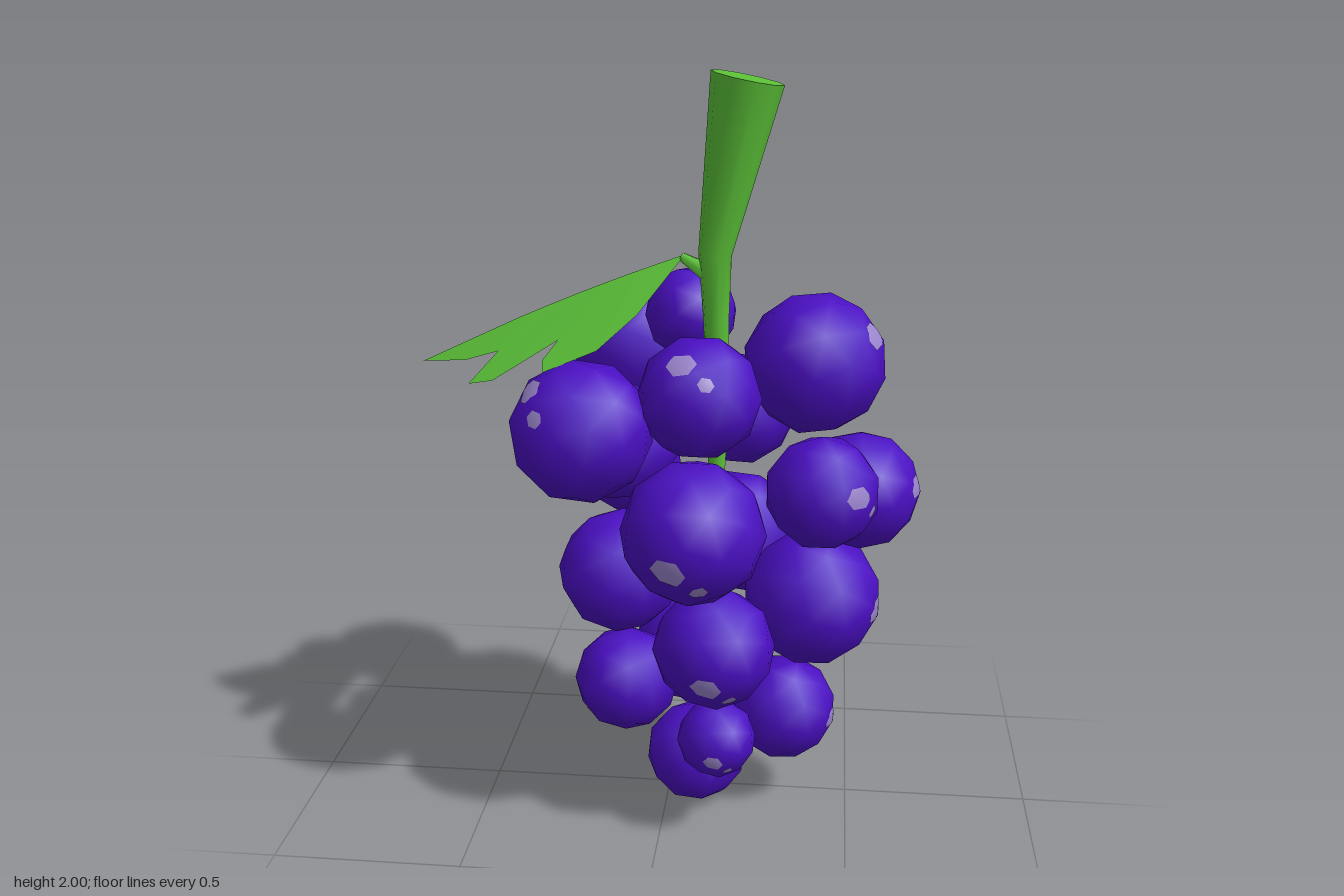
import * as THREE from 'three';

const mat = (name, color, side = THREE.FrontSide) => {
  const m = new THREE.MeshStandardMaterial({ color, side });
  m.name = name;
  return m;
};

// x, y, z, radius, pitch of the bloom spots in degrees
const GRAPES = [
  [0.10, 1.225, 0.27, 0.155, 38], [-0.19, 1.14, 0.305, 0.18, 33], [0.38, 1.26, 0.03, 0.185, 20],
  [-0.14, 1.21, -0.33, 0.178, -10], [0.17, 1.06, -0.22, 0.158, -38], [0.04, 1.345, -0.15, 0.125, -30],
  [0.51, 0.915, 0.025, 0.157, 0], [0.41, 0.98, 0.245, 0.145, 0], [0.09, 0.885, 0.315, 0.185, -25],
  [-0.15, 0.88, -0.28, 0.152, -38], [-0.13, 1.03, 0.03, 0.155, -20],
  [-0.135, 0.66, 0.03, 0.168, -30], [0.14, 0.54, 0.245, 0.16, -30], [0.39, 0.605, 0.03, 0.185, -15],
  [0.17, 0.70, -0.20, 0.173, -45],
  [-0.115, 0.35, 0.06, 0.142, -30], [0.32, 0.27, 0.03, 0.143, -15], [0.15, 0.28, 0.25, 0.104, -25],
  [0.05, 0.37, -0.145, 0.168, -35], [0.08, 0.137, 0.06, 0.138, -80],
];

const berryGeo = new THREE.IcosahedronGeometry(1, 1);

// Distance from the centre of the faceted unit berry to its surface along a direction
const facets = [];
{
  const p = berryGeo.attributes.position;
  for (let i = 0; i < p.count; i += 3) {
    const [a, b, c] = [0, 1, 2].map(k => new THREE.Vector3().fromBufferAttribute(p, i + k));
    const n = b.clone().sub(a).cross(c.clone().sub(a)).normalize();
    facets.push([n, n.dot(a)]);
  }
}
const reach = d => facets.reduce((t, [n, h]) => {
  const k = n.dot(d);
  return k > 0.3 ? Math.min(t, h / k) : t;
}, 2);

// Spot that hugs the facets, centred at (u, v) on the +z side
function spotGeometry(u, v, rx, ry) {
  const pos = [], nor = [], idx = [], n = 12;
  const add = (x, y) => {
    const d = new THREE.Vector3(x, y, Math.sqrt(1 - x * x - y * y));
    nor.push(...d.toArray());
    pos.push(...d.multiplyScalar(reach(d) + 0.012).toArray());
  };
  add(u, v);
  for (let ring = 1; ring <= 3; ring++) {
    for (let i = 0; i < n; i++) {
      const a = i / n * Math.PI * 2, s = ring / 3 * (i % 2 ? 0.92 : 1.06);
      add(u + Math.cos(a) * rx * s, v + Math.sin(a) * ry * s);
    }
  }
  for (let i = 0; i < n; i++) {
    const j = (i + 1) % n;
    idx.push(0, 1 + i, 1 + j);
    for (let r = 0; r < 2; r++) {
      const a = 1 + r * n + i, b = 1 + r * n + j;
      idx.push(a, a + n, b + n, a, b + n, b);
    }
  }
  const g = new THREE.BufferGeometry();
  g.setAttribute('position', new THREE.Float32BufferAttribute(pos, 3));
  g.setAttribute('normal', new THREE.Float32BufferAttribute(nor, 3));
  g.setIndex(idx);
  return g;
}

// Round stalk through [x, y, z, radius, tilt] rings from top to bottom, capped above
function stalkGeometry(rings, sides = 10) {
  const pos = [], idx = [];
  for (const [x, y, z, r, tilt] of rings) {
    for (let i = 0; i < sides; i++) {
      const a = i / sides * Math.PI * 2, c = Math.cos(a) * r;
      pos.push(x + c, y - c * tilt, z + Math.sin(a) * r);
    }
  }
  for (let k = 0; k < rings.length - 1; k++) {
    for (let i = 0; i < sides; i++) {
      const a = k * sides + i, b = k * sides + (i + 1) % sides;
      idx.push(a, b, b + sides, a, b + sides, a + sides);
    }
  }
  // cap with its own vertices for a sharp rim
  const base = pos.length / 3;
  pos.push(...pos.slice(0, sides * 3));
  for (let i = 1; i < sides - 1; i++) idx.push(base, base + i + 1, base + i);
  const g = new THREE.BufferGeometry();
  g.setAttribute('position', new THREE.Float32BufferAttribute(pos, 3));
  g.setIndex(idx);
  g.computeVertexNormals();
  return g;
}

// Half a leaf: a strip from the midrib to [edge x, edge z, rib x], drooping sideways
function leafHalf(edge, side) {
  const pos = [], idx = [];
  const ribY = x => 1.535 + 0.36 * (x - 0.04) - 0.105 * (x - 0.04) ** 2;
  const ribZ = x => 0.02 + (x - 0.04) * 0.042;
  for (const [x, z, rx] of [[0.04, 0.02, 0.04], ...edge]) {
    pos.push(rx, ribY(rx), ribZ(rx), x, ribY(x) - 0.4 * Math.abs(z - ribZ(x)), z);
  }
  for (let i = 0; i < edge.length; i++) {
    const a = 2 * i;
    if (side > 0) idx.push(a, a + 2, a + 1, a + 1, a + 2, a + 3);
    else idx.push(a, a + 1, a + 2, a + 1, a + 3, a + 2);
  }
  const g = new THREE.BufferGeometry();
  g.setAttribute('position', new THREE.Float32BufferAttribute(pos, 3));
  g.setIndex(idx);
  g.computeVertexNormals();
  return g;
}

function twig(from, to, r1, r2, material, name) {
  const a = new THREE.Vector3(...from), b = new THREE.Vector3(...to), d = b.clone().sub(a);
  const m = new THREE.Mesh(new THREE.CylinderGeometry(r2, r1, d.length(), 6), material);
  m.position.copy(a).add(b).multiplyScalar(0.5);
  m.quaternion.setFromUnitVectors(new THREE.Vector3(0, 1, 0), d.normalize());
  m.name = name;
  return m;
}

export function createModel() {
  const purple = mat('grape purple', 0x4b0fc4);
  const lilac = mat('bloom lilac', 0x9c87cf);
  const green = mat('stem green', 0x5bc038);
  const leafGreen = mat('leaf green', 0x5bc038);
  leafGreen.side = THREE.DoubleSide;
  const model = new THREE.Group();
  model.name = 'grapeBunch';

  // Grapes, each turned so its two bloom spots face outward
  const bigSpot = spotGeometry(-0.23, 0.16, 0.24, 0.2);
  const smallSpot = spotGeometry(0.18, -0.18, 0.13, 0.12);
  for (const [x, y, z, r, pitch] of GRAPES) {
    const grape = new THREE.Group();
    grape.name = 'grape';
    const parts = [[berryGeo, purple, 'berry'], [bigSpot, lilac, 'largeSpot'], [smallSpot, lilac, 'smallSpot']];
    for (const [geo, material, name] of parts) {
      const m = new THREE.Mesh(geo, material);
      m.name = name;
      grape.add(m);
    }
    grape.position.set(x, y, z);
    grape.scale.setScalar(r * 1.01);
    grape.rotation.order = 'YXZ';
    grape.rotation.y = Math.atan2(x - 0.1, z - 0.03);
    grape.rotation.x = -pitch * Math.PI / 180;
    model.add(grape);
    // Twigs holding the middle grapes
    if (y > 0.5 && y < 0.75) model.add(twig([0.12, y + 0.1, 0.03], [x, y, z], 0.02, 0.015, green, 'twig'));
  }

  // Main stem, thick at the cut end and thin inside the bunch
  const stem = new THREE.Mesh(stalkGeometry([
    [0.195, 1.98, 0.03, 0.092, 0.2], [0.118, 1.54, 0.03, 0.043, 0.1], [0.122, 1.38, 0.03, 0.034, 0],
    [0.13, 1.05, 0.03, 0.024, 0], [0.115, 0.65, 0.03, 0.02, 0], [0.09, 0.2, 0.05, 0.012, 0],
  ]), green);
  stem.name = 'stem';
  model.add(stem);

  // Leaf and its stalk
  const edges = {
    backLeafHalf: [-1, [[-0.06, -0.2, 0], [-0.165, -0.26, -0.05], [-0.285, -0.28, -0.1], [-0.26, -0.135, -0.16],
      [-0.355, -0.2, -0.2], [-0.48, -0.215, -0.25], [-0.435, -0.115, -0.33], [-0.52, -0.1, -0.4], [-0.67, -0.01, -0.67]]],
    frontLeafHalf: [1, [[-0.06, 0.215, 0], [-0.15, 0.305, -0.05], [-0.285, 0.305, -0.1], [-0.295, 0.25, -0.13],
      [-0.265, 0.19, -0.16], [-0.425, 0.245, -0.2], [-0.495, 0.21, -0.25], [-0.435, 0.12, -0.33],
      [-0.53, 0.09, -0.4], [-0.67, -0.01, -0.67]]],
  };
  for (const [name, [side, edge]] of Object.entries(edges)) {
    const half = new THREE.Mesh(leafHalf(edge, side), leafGreen);
    half.name = name;
    model.add(half);
  }
  model.add(twig([0.12, 1.48, 0.03], [0.03, 1.53, 0.02], 0.03, 0.012, green, 'leafStalk'));
  return model;
}
